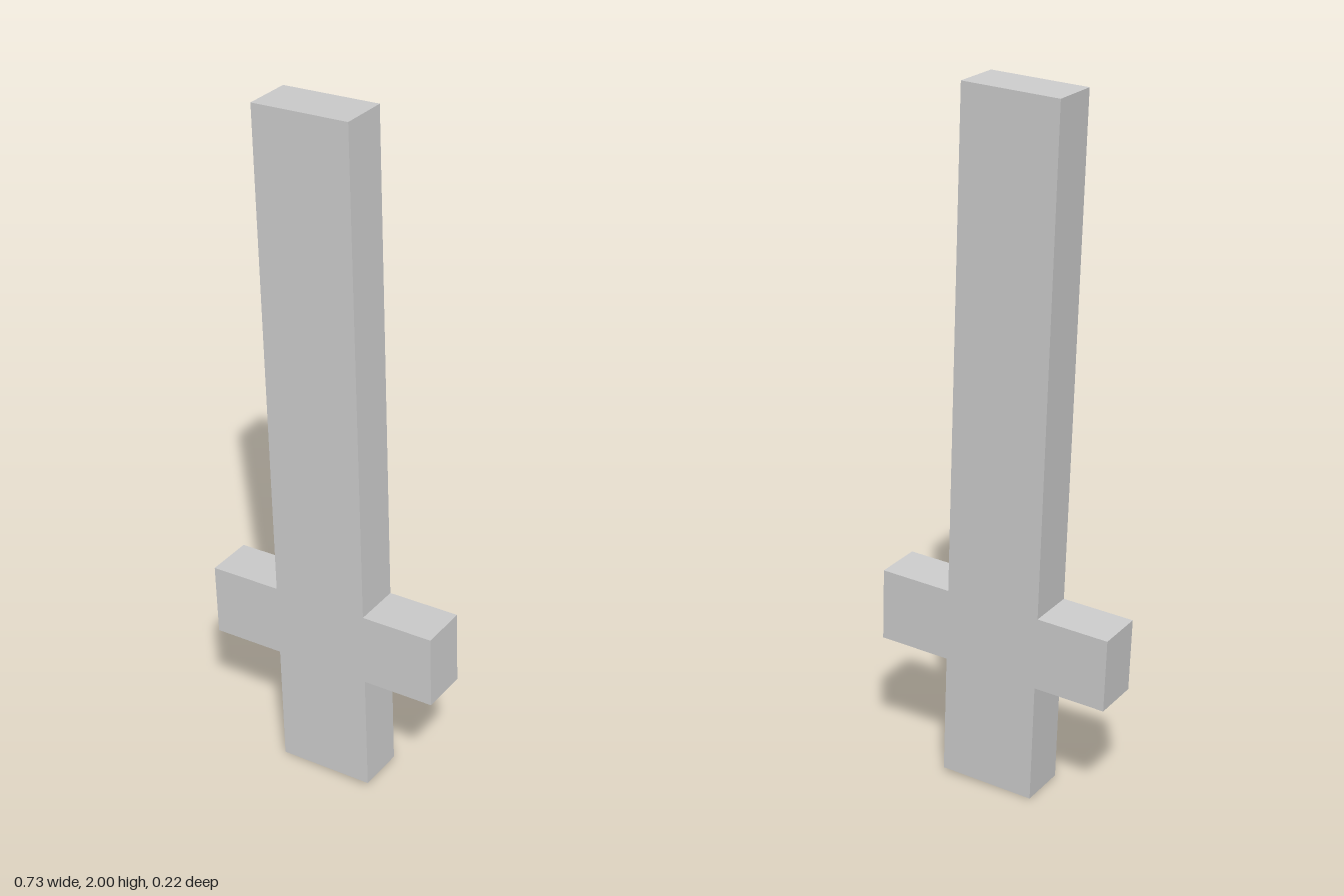
import * as THREE from 'three';

const UNIT = 0.1417; // thickness of the sword; every other size is a multiple of it

export function createModel() {
  const group = new THREE.Group();

  // Half outline (+x side) from pommel to tip, mirrored for the other side
  const half = [[1, -7], [1, -4.5], [2.5, -4.5], [2.5, -3], [1, -3], [1, 7]];
  const mirrored = half.map(([x, y]) => [-x, y]).reverse();
  const outline = [...half, ...mirrored].map(([x, y]) => new THREE.Vector2(x * UNIT, y * UNIT));

  // Handle, crossguard and blade as one flush slab
  const geometry = new THREE.ExtrudeGeometry(new THREE.Shape(outline), {
    depth: UNIT,
    bevelEnabled: false,
  });
  geometry.translate(0, 0, -UNIT / 2);

  const sword = new THREE.Mesh(
    geometry,
    new THREE.MeshStandardMaterial({ color: 0xcccccc, flatShading: true })
  );
  sword.name = 'sword';

  // Slight lean to the side and back, with a small turn about its length
  const along = new THREE.Vector3(-0.0555, 0.998, -0.0187).normalize();
  const across = new THREE.Vector3(0.28, 0.015, -0.03).normalize();
  const through = new THREE.Vector3().crossVectors(across, along).normalize();
  across.crossVectors(along, through);
  sword.quaternion.setFromRotationMatrix(new THREE.Matrix4().makeBasis(across, along, through));
  sword.position.set(-0.031, 1, -0.0095);

  group.add(sword);
  return group;
}
